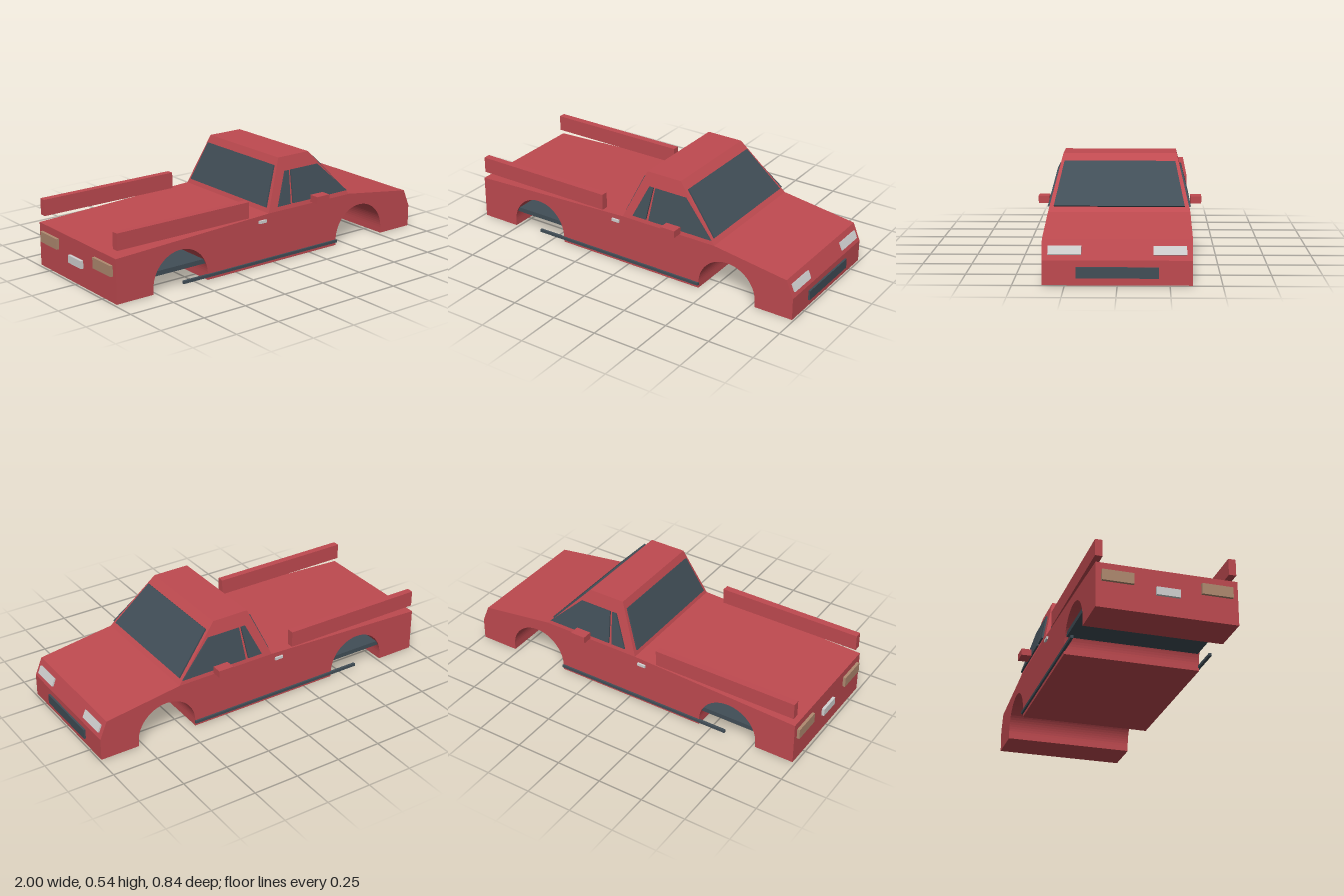
import * as THREE from 'three';
import { ConvexGeometry } from 'three/addons/geometries/ConvexGeometry.js';

const mat = (name, color) => new THREE.MeshStandardMaterial({ name, color, flatShading: true });

export function createModel() {
  const paint = mat('red paint', 0xbf4a50);
  const glass = mat('dark glass and trim', 0x414e57);
  const chrome = mat('light grey', 0xd2d2d2);
  const lamp = mat('tail lamp tan', 0xb08a70);

  const truck = new THREE.Group();
  truck.name = 'pickupTruck';
  const add = (name, geometry, material) => {
    const mesh = new THREE.Mesh(geometry, material);
    mesh.name = name;
    truck.add(mesh);
    return mesh;
  };
  // Box given by its limits on each axis
  const box = (name, material, [x0, x1], [y0, y1], [z0, z1]) =>
    add(name, new THREE.BoxGeometry(x1 - x0, y1 - y0, Math.abs(z1 - z0)), material)
      .position.set((x0 + x1) / 2, (y0 + y1) / 2, (z0 + z1) / 2);
  // Thin plate standing proud of a sloping face
  const plate = (name, material, corners, normal, thickness = 0.009) => {
    const pts = corners.map((c) => new THREE.Vector3(...c));
    const n = new THREE.Vector3(...normal).normalize().multiplyScalar(thickness);
    add(name, new ConvexGeometry([...pts, ...pts.map((p) => p.clone().add(n))]), material);
  };

  // Lower body: side profile with two wheel arches, extruded across the width
  const W = 0.358;
  const profile = new THREE.Shape();
  profile.moveTo(-0.985, 0);
  for (const cx of [-0.6, 0.607]) {
    profile.lineTo(cx - 0.168, 0);
    profile.lineTo(cx - 0.168, 0.032);
    profile.absarc(cx, 0.032, 0.168, Math.PI, 0, true);
    profile.lineTo(cx + 0.168, 0);
  }
  [[0.99, 0], [0.99, 0.12], [0.95, 0.215], [0.53, 0.275], [-0.035, 0.275], [-0.985, 0.235]]
    .forEach(([x, y]) => profile.lineTo(x, y));
  const bodyGeo = new THREE.ExtrudeGeometry(profile, { depth: 2 * W, bevelEnabled: false, curveSegments: 20 });
  bodyGeo.translate(0, 0, -W);
  add('body', bodyGeo, paint);

  // Tapered cabin
  const y0 = 0.275, y1 = 0.543, topZ = 0.293;
  const cabin = [];
  for (const s of [1, -1]) {
    cabin.push(new THREE.Vector3(-0.035, y0, s * W), new THREE.Vector3(0.53, y0, s * W),
      new THREE.Vector3(0.08, y1, s * topZ), new THREE.Vector3(0.285, y1, s * topZ));
  }
  add('cabin', new ConvexGeometry(cabin), paint);

  // Windscreen and rear window follow the cabin slopes
  const rise = (y) => (y - y0) / (y1 - y0);
  const endWindow = (name, xBase, xRoof, dir) => {
    const at = (y, z) => [xBase + (xRoof - xBase) * rise(y), y, z];
    plate(name, glass, [at(0.298, 0.33), at(0.298, -0.33), at(0.503, -0.285), at(0.503, 0.285)],
      [dir * (y1 - y0), Math.abs(xBase - xRoof), 0]);
  };
  endWindow('windscreen', 0.53, 0.285, 1);
  endWindow('rearWindow', -0.035, 0.08, -1);

  // Parts mirrored on both sides
  for (const s of [1, -1]) {
    const side = s > 0 ? 'right' : 'left';
    const sidePane = (name, outline) => plate(name, glass,
      outline.map(([x, y]) => [x, y, s * (W + (topZ - W) * rise(y))]), [0, W - topZ, s * (y1 - y0)]);
    sidePane(side + 'DoorWindow', [[0.13, 0.298], [0.51, 0.298], [0.33, 0.47], [0.145, 0.47]]);
    sidePane(side + 'QuarterWindow', [[0.03, 0.298], [0.112, 0.298], [0.132, 0.47], [0.107, 0.47]]);

    box(side + 'BedRail', paint, [-0.975, -0.165], [0.275, 0.363], [s * 0.32, s * W]);
    box(side + 'Mirror', paint, [0.245, 0.33], [0.287, 0.325], [s * 0.364, s * 0.42]);
    box(side + 'DoorHandle', chrome, [-0.102, -0.055], [0.233, 0.248], [s * 0.35, s * 0.368]);
    box(side + 'SillTrim', glass, [-0.59, 0.44], [0.017, 0.032], [s * 0.354, s * 0.368]);
    box(side + 'TailLamp', lamp, [-1, -0.984], [0.138, 0.195], [s * 0.17, s * 0.33]);

    // Headlamp lies on the slanted nose
    const nose = (y, z) => [0.99 - 0.04 * (y - 0.12) / 0.095, y, s * z];
    plate(side + 'Headlamp', chrome,
      [nose(0.144, 0.17), nose(0.144, 0.33), nose(0.184, 0.33), nose(0.184, 0.17)], [0.095, 0.04, 0]);
  }

  // Grille, rear plate and panel above the rear axle
  box('grille', glass, [0.988, 1], [0.035, 0.088], [-0.197, 0.197]);
  box('rearPlate', chrome, [-1, -0.984], [0.1, 0.142], [-0.06, 0.06]);
  box('rearUnderPanel', glass, [-0.765, -0.435], [0.09, 0.115], [-0.35, 0.35]);

  return truck;
}
